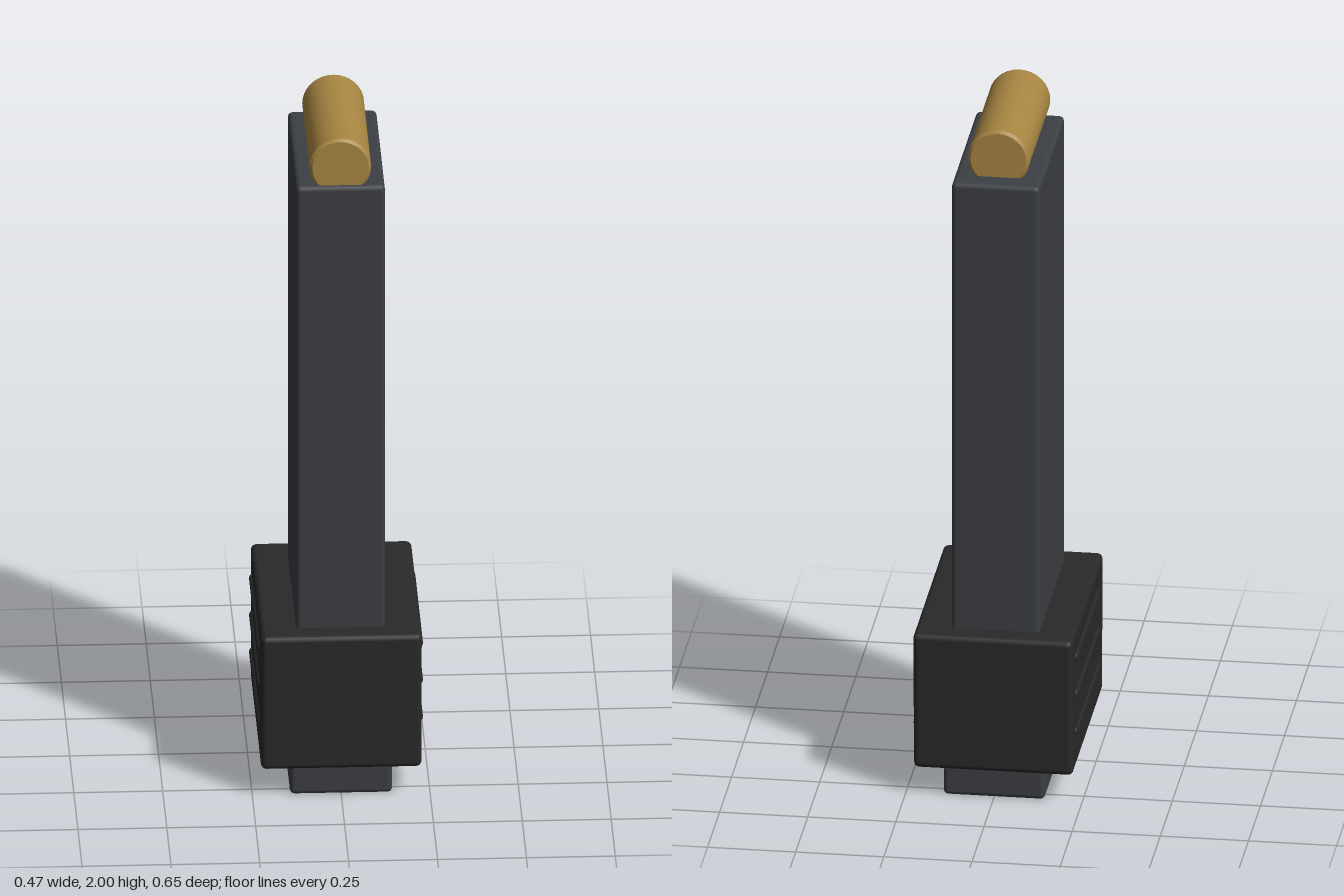
import * as THREE from 'three';
import { RoundedBoxGeometry } from 'three/addons/geometries/RoundedBoxGeometry.js';
import { toCreasedNormals } from 'three/addons/utils/BufferGeometryUtils.js';

const steel = new THREE.MeshStandardMaterial({ color: 0x3c3f44 });
const rubber = new THREE.MeshStandardMaterial({ color: 0x292929 });
const brass = new THREE.MeshStandardMaterial({ color: 0xa88642 });

// Softly bevelled box spanning y0..y1, centred on x and z
function bevelBox(name, w, y0, y1, d, bevel, material) {
  const geometry = new RoundedBoxGeometry(w, y1 - y0, d, 2, bevel);
  geometry.translate(0, (y0 + y1) / 2, 0);
  const mesh = new THREE.Mesh(geometry, material);
  mesh.name = name;
  return mesh;
}

export function createModel() {
  const model = new THREE.Group();
  model.name = 'magazine';

  // Tall tube and the floor plate under it
  model.add(bevelBox('tube', 0.25, 0.06, 1.86, 0.524, 0.014, steel));
  model.add(bevelBox('floorPlate', 0.288, 0, 0.1, 0.588, 0.014, steel));

  // Grip sleeve, narrowing slightly in depth towards the bottom
  const y0 = 0.085, y1 = 0.5;
  const sleeve = bevelBox('gripSleeve', 0.452, y0, y1, 0.654, 0.016, rubber);
  const p = sleeve.geometry.attributes.position;
  for (let i = 0; i < p.count; i++) {
    const t = (p.getY(i) - y0) / (y1 - y0);
    p.setZ(i, p.getZ(i) * THREE.MathUtils.lerp(0.953, 1, t));
  }
  model.add(sleeve);

  // Three grip ridges on each side of the sleeve
  const ridges = new THREE.Group();
  ridges.name = 'gripRidges';
  for (const side of [-1, 1]) {
    for (const y of [0.425, 0.312, 0.198]) {
      const ridge = bevelBox('gripRidge', 0.03, -0.0125, 0.0125, 0.484, 0.012, rubber);
      ridge.position.set(side * 0.219, y, -0.018);
      ridges.add(ridge);
    }
  }
  model.add(ridges);

  // Bevelled round lying at the top, running front to back
  const r = 0.087, b = 0.008;
  const profile = [[0, -0.2], [r - b, -0.2], [r, -0.2 + b], [r, 0.25 - b], [r - b, 0.25], [0, 0.25]]
    .map(([x, y]) => new THREE.Vector2(x, y));
  const geometry = toCreasedNormals(new THREE.LatheGeometry(profile, 32), 0.6);
  geometry.rotateX(Math.PI / 2);
  const round = new THREE.Mesh(geometry, brass);
  round.name = 'cartridge';
  round.position.y = 2 - r;
  model.add(round);

  return model;
}
